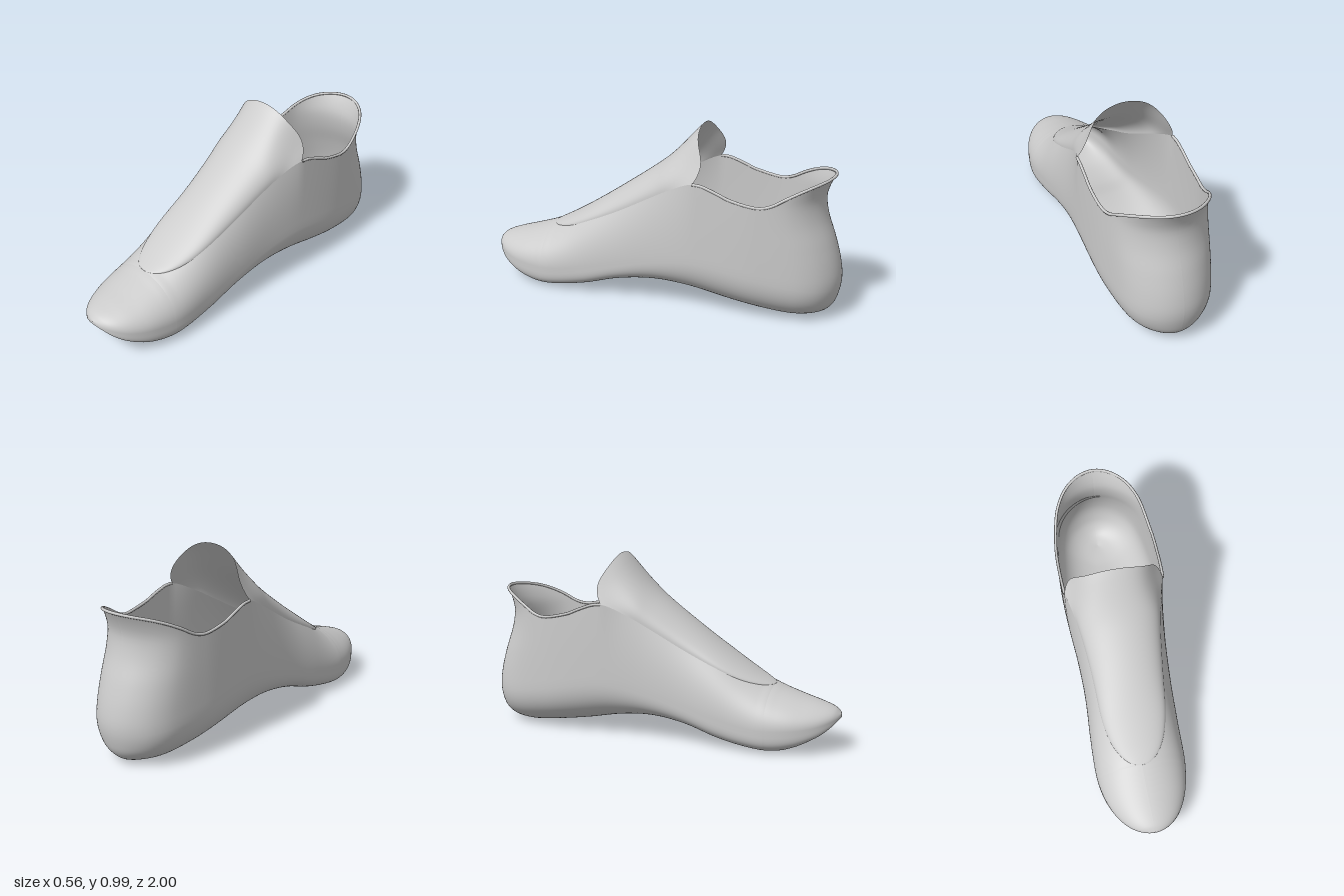
import * as THREE from 'three';

const material = new THREE.MeshStandardMaterial({ color: 0xcccccc, side: THREE.DoubleSide });
const smooth = THREE.MathUtils.smoothstep;

// Smooth interpolation through [position, value] pairs
function curve(points, warp = (v) => v) {
  const x = points.map((p) => warp(p[0]));
  const y = points.map((p) => p[1]);
  const n = x.length;
  const m = y.map((_, i) => {
    const a = Math.max(i - 1, 0), b = Math.min(i + 1, n - 1);
    return (y[b] - y[a]) / (x[b] - x[a]);
  });
  return (v) => {
    const q = THREE.MathUtils.clamp(warp(v), x[0], x[n - 1]);
    let i = 0;
    while (i < n - 2 && q > x[i + 1]) i++;
    const h = x[i + 1] - x[i], t = (q - x[i]) / h, t2 = t * t, t3 = t2 * t;
    return (2 * t3 - 3 * t2 + 1) * y[i] + (t3 - 2 * t2 + t) * h * m[i]
      + (3 * t2 - 2 * t3) * y[i + 1] + (t3 - t2) * h * m[i + 1];
  };
}
const round = (z) => Math.asin(THREE.MathUtils.clamp(z, -1, 1));

// Plan half width, sole height, height of the widest point
const width = curve([[-1, 0], [-0.97, 0.112], [-0.9, 0.192], [-0.8, 0.24], [-0.6, 0.272], [-0.45, 0.279],
  [-0.25, 0.273], [0, 0.253], [0.2, 0.247], [0.4, 0.252], [0.6, 0.255], [0.7, 0.244], [0.8, 0.217],
  [0.9, 0.165], [0.96, 0.108], [1, 0]], round);
const sole = curve([[-1, 0], [-0.8, 0.003], [-0.6, 0.02], [-0.4, 0.05], [-0.2, 0.09], [0, 0.11], [0.2, 0.09],
  [0.4, 0.035], [0.55, 0.008], [0.67, 0], [0.8, 0.02], [0.9, 0.066], [0.96, 0.115], [1, 0.168]]);
const waist = curve([[-1, 0.2], [-0.6, 0.27], [-0.25, 0.32], [0, 0.28], [0.4, 0.17], [0.6, 0.13],
  [0.8, 0.135], [0.9, 0.15], [1, 0.18]]);

// Upper edge of the body: heel rim, tongue seam, then toe crown
const edgeY = curve([[-1, 0.775], [-0.92, 0.75], [-0.8, 0.7], [-0.7, 0.658], [-0.6, 0.643], [-0.45, 0.67],
  [-0.35, 0.71], [-0.25, 0.73], [-0.1, 0.665], [0, 0.61], [0.2, 0.5], [0.4, 0.406], [0.5, 0.363],
  [0.6, 0.334], [0.65, 0.327], [0.7, 0.308], [0.8, 0.275], [0.9, 0.246], [0.97, 0.22], [1, 0.194]]);
const seamX = curve([[-0.25, 0.268], [-0.15, 0.24], [0, 0.213], [0.2, 0.192], [0.4, 0.18], [0.65, 0.17]]);

// Edge position as a share of the plan half width
function edgeRatio(z) {
  if (z <= -0.25) return 0.982;
  if (z >= 0.65) return 0;
  return seamX(z) * Math.sqrt(1 - Math.max(0, (z - 0.28) / 0.37) ** 2.5) / width(z);
}

// Centre line of the tongue, and the curve of the heel's back
const tongueTop = curve([[-0.25, 0.988], [-0.225, 0.965], [-0.19, 0.93], [-0.1, 0.845], [0, 0.757],
  [0.2, 0.612], [0.4, 0.475], [0.55, 0.382], [0.65, 0.329]]);
const heelInset = curve([[0, 0.15], [0.015, 0.09], [0.05, 0.045], [0.1, 0.018], [0.2, 0], [0.3, 0.012],
  [0.42, 0.045], [0.55, 0.09], [0.65, 0.105], [0.72, 0.088], [0.78, 0.06]]);

// Stations along the foot, closer together where the outline turns
const steps = (n, f) => Array.from({ length: n + 1 }, (_, i) => f(i / n));
const heelZ = steps(50, (t) => -1 + 0.75 * (1 - Math.cos(t * Math.PI / 2)));
const seamZ = steps(60, (t) => -0.25 + 0.9 * Math.sin(t * Math.PI / 2));
const toeZ = steps(36, (t) => 0.65 + 0.35 * Math.sin(t * Math.PI / 2));
const stations = [...heelZ, ...seamZ.slice(1), ...toeZ.slice(1)];

// Curves the heel's back and sets the forefoot slightly to one side
function place(x, y, z) {
  const sway = 0.007 * smooth(z, 0.1, 0.5) * (1 - smooth(z, 0.7, 1));
  return new THREE.Vector3(x - sway, y, z + heelInset(y) * (1 - smooth(z, -1, -0.5)));
}

// Half cross-section from the upper edge down to the middle of the sole
function halfSection(z, side) {
  const w = width(z), b = sole(z), m = waist(z);
  const points = [];
  // Part of an elliptic dome, cut off at the edge
  const cut = Math.acos(edgeRatio(z));
  const dome = (edgeY(z) - m) / Math.sin(cut);
  for (let i = 0; i <= 22; i++) {
    const a = (1 - i / 22) * cut;
    points.push(place(side * w * Math.cos(a), m + dome * Math.sin(a), z));
  }
  // Rounded heel, squarer forefoot
  const power = 0.8 - 0.3 * smooth(z, -0.4, 0.4);
  for (let i = 1; i <= 22; i++) {
    const a = (1 - i / 22) * Math.PI / 2;
    const f = Math.sin(a) ** power;
    const hollow = 0.04 * smooth(z, 0.68, 0.9) * (1 - f * f);
    const y = Math.min(m, m - (m - b) * Math.max(0, Math.cos(a)) ** power + hollow);
    points.push(place(side * w * f, y, z));
  }
  return points;
}

// Skin over a list of equal-length cross-sections
function loft(sections) {
  const n = sections[0].length, index = [];
  for (let i = 0; i < sections.length - 1; i++) {
    for (let j = 0; j < n - 1; j++) {
      const a = i * n + j, b = a + n;
      index.push(a, b, a + 1, b, b + 1, a + 1);
    }
  }
  const geometry = new THREE.BufferGeometry().setFromPoints(sections.flat());
  geometry.setIndex(index);
  geometry.computeVertexNormals();
  return geometry;
}

function addPart(group, name, geometry) {
  const mesh = new THREE.Mesh(geometry, material);
  mesh.name = name;
  group.add(mesh);
}

export function createModel() {
  const group = new THREE.Group();
  group.name = 'shoe';

  // Sole, sides, heel and toe as one skin
  const body = stations.map((z) => [...halfSection(z, 1), ...halfSection(z, -1).reverse().slice(1)]);
  addPart(group, 'body', loft(body));

  // Arched tongue with a flared end that hooks back at its lower corners
  const tongue = seamZ.map((z) => {
    const ex = edgeRatio(z) * width(z), ey = edgeY(z), rise = tongueTop(z) - ey;
    const flare = 1 - smooth(z, -0.25, -0.05);
    return steps(40, (t) => {
      const a = t * Math.PI, s = Math.sin(a), c = Math.cos(a);
      const x = -ex * c * (1 - 0.2 * flare * s * c * c);
      return place(x, ey + rise * s, z + flare * (0.02 * s * s - 0.15 * s * c ** 6));
    });
  });
  addPart(group, 'tongue', loft(tongue));

  // Rolled rim around the heel opening
  const rimSide = (side) => heelZ.filter((_, i) => i % 2 === 0)
    .map((z) => place(side * edgeRatio(z) * width(z), edgeY(z), z));
  const rimPath = new THREE.CatmullRomCurve3([...rimSide(1).reverse(), ...rimSide(-1).slice(1)]);
  addPart(group, 'rim', new THREE.TubeGeometry(rimPath, 120, 0.008, 8));

  return group;
}
